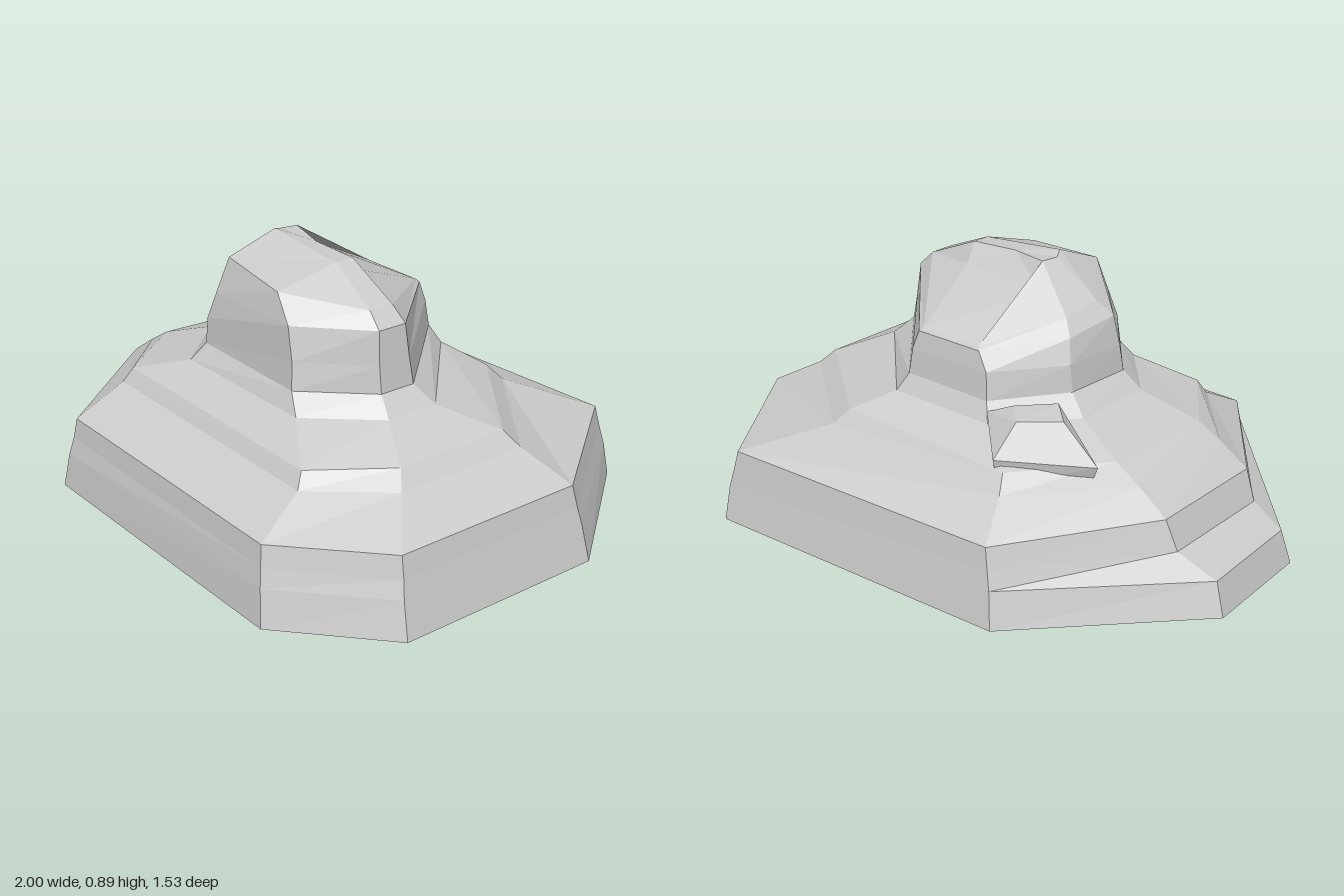
import * as THREE from 'three';
import { ConvexGeometry } from 'three/addons/geometries/ConvexGeometry.js';

const rock = new THREE.MeshStandardMaterial({ color: 0xcccccc, flatShading: true });

// Each ring is { y, p }: eight corners [x, z] (or [x, z, y]) from back left, round by the right side.
const ringPoints = ({ y, p }) => p.map(([x, z, h = y]) => [x, h, z]);

// Joins rings from bottom to top; optional centre points close the ends.
function loft(name, rings, { bottom, top } = {}) {
  const r = rings.map(ringPoints), n = r[0].length, last = r.length - 1, pos = [];
  const tri = (...corners) => corners.forEach((c) => pos.push(...c));
  for (let i = 0; i < n; i++) {
    const j = (i + 1) % n;
    for (let k = 0; k < last; k++) {
      tri(r[k][j], r[k][i], r[k + 1][i]);
      tri(r[k][j], r[k + 1][i], r[k + 1][j]);
    }
    if (bottom) tri(bottom, r[0][i], r[0][j]);
    if (top) tri(top, r[last][j], r[last][i]);
  }
  const geo = new THREE.BufferGeometry();
  geo.setAttribute('position', new THREE.Float32BufferAttribute(pos, 3));
  geo.computeVertexNormals();
  return named(name, geo);
}

function named(name, geo) {
  const mesh = new THREE.Mesh(geo, rock);
  mesh.name = name;
  return mesh;
}

export function createModel() {
  const group = new THREE.Group();
  group.name = 'rockFormation';

  // shared boundaries between the parts
  const neck = { y: 0.46, p: [[-.2, -.36], [.2, -.36], [.57, 0], [.57, .19], [.38, .4], [-.2, .39], [-.4, .17], [-.4, -.13]] };
  const shoulder = { y: 0.72, p: [[-.12, -.31, .67], [.14, -.31, .67], [.49, .06], [.49, .165], [.285, .355], [-.13, .33, .7], [-.31, .13, .71], [-.3, -.08, .69]] };

  // wide foot with a low ledge on the -x side, then stepped slopes
  group.add(loft('baseSlopes', [
    { y: 0, p: [[-.52, -.71], [.62, -.77], [1, -.27], [1, .48], [.68, .765], [-.47, .74], [-.97, .23], [-1, -.19]] },
    { y: 0.12, p: [[-.5, -.69], [.61, -.75], [.97, -.26], [.97, .47], [.66, .75], [-.45, .725], [-.935, .22, .11], [-.965, -.18, .11]] },
    { y: 0.18, p: [[-.485, -.68], [.595, -.74], [.955, -.25], [.955, .46], [.65, .74], [-.44, .71], [-.82, .23, .17], [-.83, -.2, .17]] },
    { y: 0.25, p: [[-.47, -.67], [.58, -.73], [.94, -.24], [.94, .455], [.64, .73], [-.43, .7], [-.78, .24, .27], [-.79, -.21, .27]] },
    { y: 0.34, p: [[-.4, -.53], [.36, -.5], [.78, -.17], [.78, .32], [.58, .55], [-.42, .52], [-.68, .23], [-.68, -.2]] },
    { y: 0.39, p: [[-.37, -.48], [.32, -.46], [.73, -.14], [.73, .28], [.56, .52], [-.4, .49], [-.6, .22], [-.58, -.19]] },
    neck,
  ], { bottom: [0, 0, 0] }));

  // steep middle block
  group.add(loft('tower', [
    neck,
    { y: 0.52, p: [[-.17, -.33], [.17, -.33], [.51, .04], [.51, .17], [.32, .37], [-.165, .35], [-.34, .15], [-.33, -.1]] },
    { y: 0.61, p: [[-.16, -.32], [.16, -.32], [.5, .05], [.5, .17], [.31, .36], [-.16, .345], [-.33, .14], [-.32, -.1]] },
    shoulder,
  ]));

  // bevelled crown with a ridge above a sloping back
  group.add(loft('crown', [
    shoulder,
    { y: 0.77, p: [[-.11, -.3, .68], [.13, -.3, .68], [.44, .07], [.44, .16], [.2, .33, .8], [-.11, .29, .82], [-.26, .1, .76], [-.26, -.05, .74]] },
    { y: 0.86, p: [[-.15, -.05, .8], [.21, 0, .8], [.23, .055], [.23, .12], [.21, .125], [-.09, .12, .887], [-.11, .08, .875], [-.1, .02, .875]] },
  ], { top: [.05, .868, .06] }));

  // small buttress leaning on the back left corner
  const buttress = [
    [-.46, .525, -.3], [-.35, .525, -.395], [-.27, .53, -.32], [-.38, .54, -.23],
    [-.58, .4, -.28], [-.33, .42, -.48], [-.3, .47, -.15], [-.18, .49, -.34],
    [-.55, .33, -.28], [-.33, .33, -.46], [-.2, .35, -.2],
  ];
  group.add(named('buttress', new ConvexGeometry(buttress.map((p) => new THREE.Vector3(...p)))));

  return group;
}
